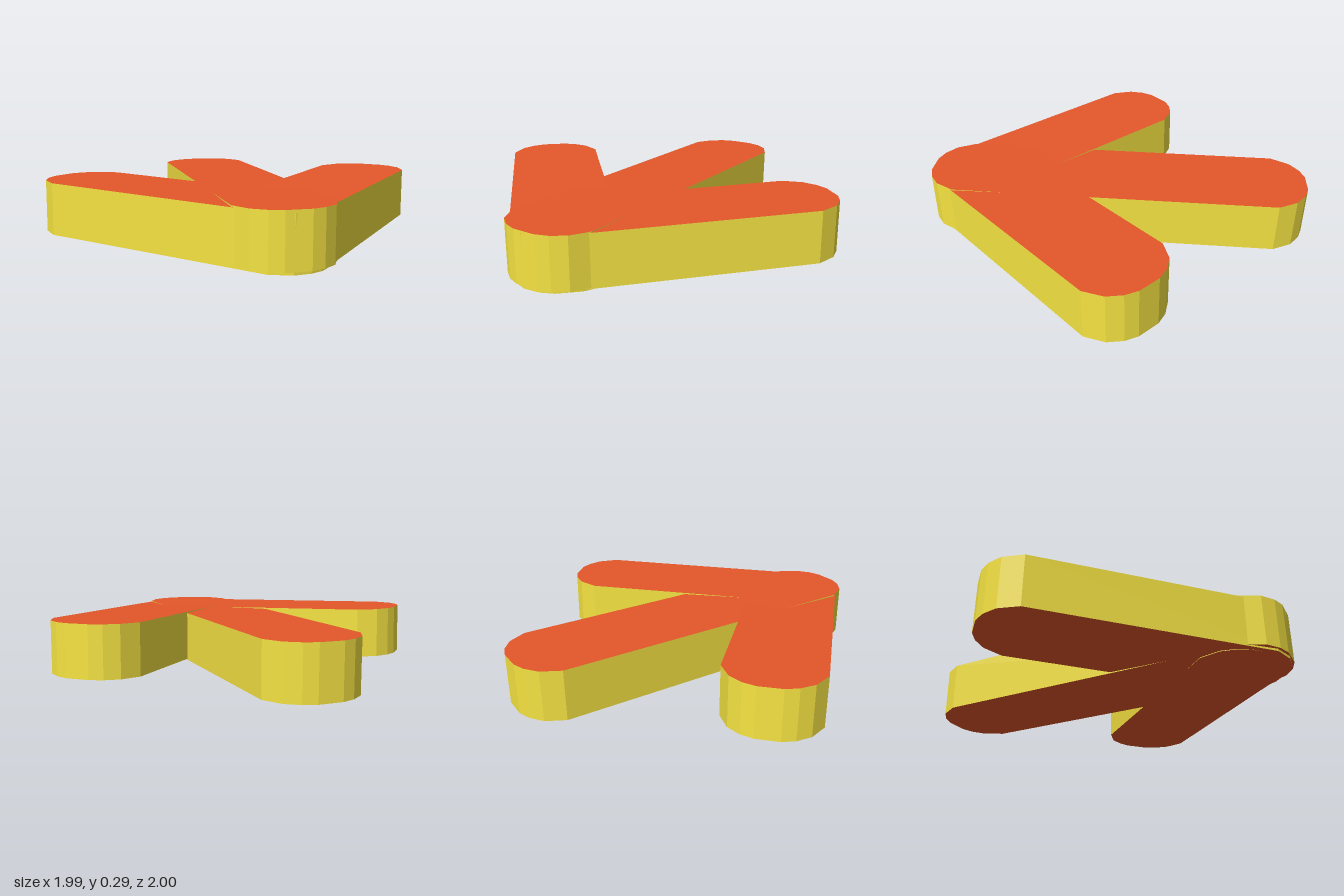
import * as THREE from 'three';

const faceMaterial = new THREE.MeshStandardMaterial({ color: 0xe5572a });
const sideMaterial = new THREE.MeshStandardMaterial({ color: 0xf5e342 });
const THICKNESS = 0.261;

// Upright slab with faceted round ends, lying along z and centred on its origin
function barGeometry(length) {
  const h = length / 2;
  // Quarter of the outline: half width, distance back from the end
  const quarter = [[0.242, 0.165], [0.19, 0.07], [0.125, 0.022], [0.06, 0]];
  const end = [
    ...quarter.map(([x, d]) => [x, h - d]),
    ...quarter.map(([x, d]) => [-x, h - d]).reverse(),
  ];
  const outline = [...end, ...end.map(([x, y]) => [-x, -y])];
  const shape = new THREE.Shape(outline.map(([x, y]) => new THREE.Vector2(x, y)));
  return new THREE.ExtrudeGeometry(shape, { depth: THICKNESS, bevelEnabled: false })
    .rotateX(-Math.PI / 2);
}

function bar(name, length, position, yaw, pitch) {
  const mesh = new THREE.Mesh(barGeometry(length), [faceMaterial, sideMaterial]);
  mesh.name = name;
  mesh.position.set(...position);
  mesh.rotation.set(pitch, yaw, 0, 'YXZ');
  return mesh;
}

export function createModel() {
  const arrow = new THREE.Group();
  arrow.name = 'arrow';
  // Level shaft, and two arms that rise slightly towards their outer ends
  arrow.add(
    bar('shaft', 2, [0, 0.0125, 0], 0, -0.004),
    bar('rightArm', 1.54, [-0.373, 0.018, 0.363], 0.774, 0.022),
    bar('leftArm', 1.54, [0.379, 0.019, 0.337], -0.75, 0.017),
  );
  return arrow;
}
